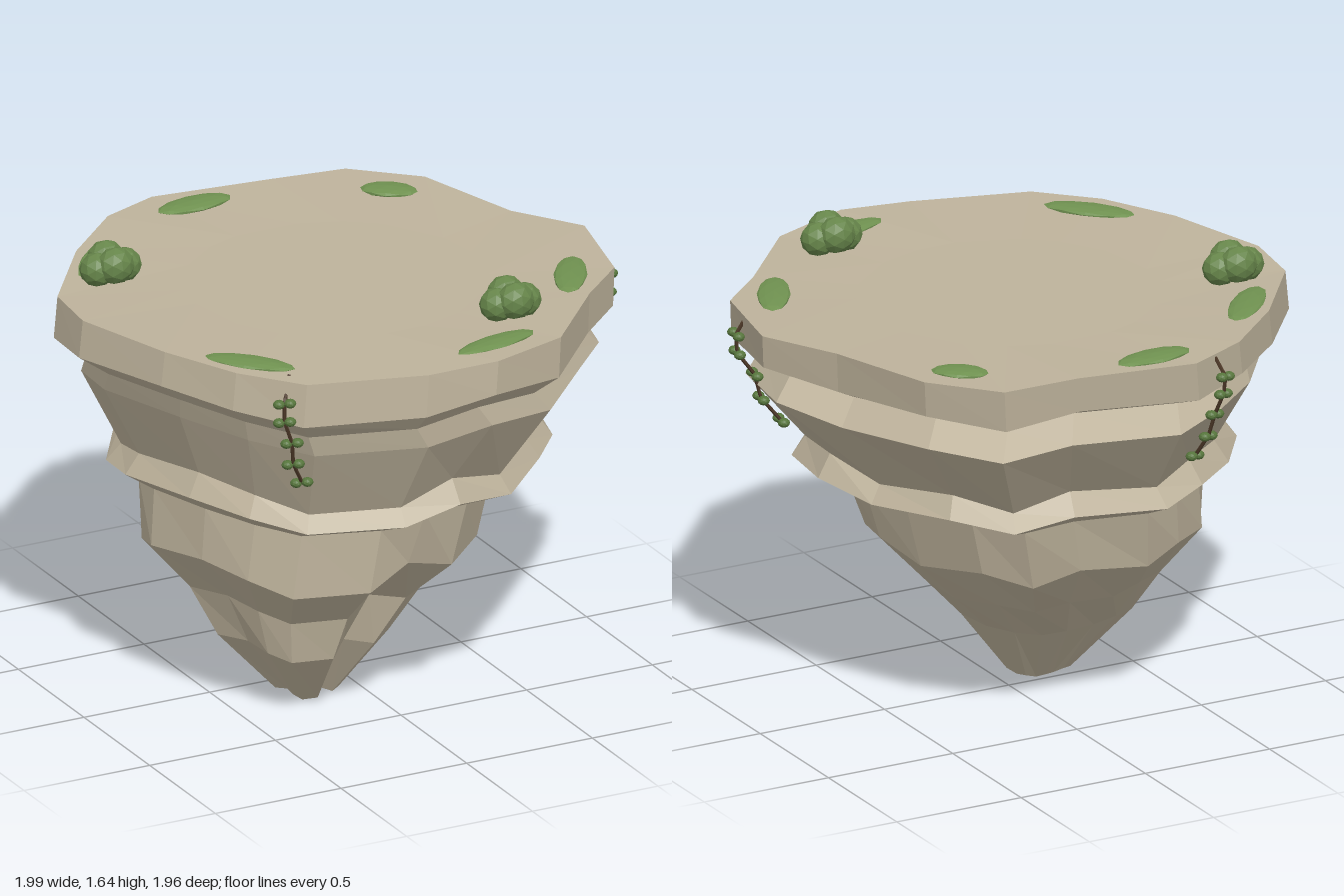
import * as THREE from 'three';

const mat = (name, color, extra = {}) => {
  const m = new THREE.MeshStandardMaterial({ color, flatShading: true, ...extra });
  m.name = name;
  return m;
};

// Plan of the rim as x, z pairs, going from +x towards +z
const OUTLINE = [
  [1, 0], [0.92, 0.38], [0.73, 0.55], [0.45, 0.86], [0.14, 0.97], [-0.13, 0.95],
  [-0.56, 0.83], [-0.74, 0.63], [-0.88, 0.35], [-1, -0.05], [-0.97, -0.30], [-0.72, -0.63],
  [-0.47, -0.86], [-0.24, -0.96], [0.21, -0.90], [0.50, -0.88], [0.71, -0.67], [0.84, -0.26],
];
// Up and down wobble of the strata, and in and out wobble of the lower gullies
const WAVE = [0.9, 0, -0.2, -0.4, 0.9, -0.8, -0.9, 0.2, 0.9, 0.3, -0.5, 0.4, 0.8, -0.3, 0.5, -0.8, 0.3, -0.5];
const GULLY = [0.4, -0.8, 0.3, 0.2, -1, 0.5, 0.8, 0.5, -0.2, 0.4, -0.6, 0.5, 0.2, -0.7, 0.4, -0.5, 0.5, -0.3];

// Rock levels from the middle of the top down to the tip:
// y, xMin, xMax, zMin, zMax, roundness, wave height, gully depth
const LEVELS = [
  [1.485, 0, 0, 0, 0, 1, 0, 0],
  [1.485, -0.54, 0.54, -0.53, 0.53, 1, 0, 0],
  [1.495, -0.98, 0.99, -0.96, 0.965, 0, 0.006, 0],
  [1.355, -1.0, 0.98, -0.95, 0.975, 0, 0.025, 0],
  [1.295, -0.91, 0.84, -0.80, 0.92, 0.2, 0.025, 0],
  [1.215, -0.90, 0.93, -0.90, 0.92, 0.2, 0.025, 0],
  [0.955, -0.78, 0.70, -0.70, 0.77, 0.4, 0.045, 0],
  [0.885, -0.83, 0.75, -0.76, 0.82, 0.4, 0.03, 0],
  [0.815, -0.72, 0.56, -0.61, 0.67, 0.5, 0.02, 0],
  [0.60, -0.73, 0.49, -0.57, 0.65, 0.6, 0.045, 0.03],
  [0.42, -0.57, 0.30, -0.38, 0.45, 0.8, 0.03, 0.09],
  [0.25, -0.49, 0.12, -0.21, 0.40, 0.8, 0.02, 0.16],
  [0.015, -0.28, -0.06, 0, 0.21, 1, 0.012, 0.25],
  [0.02, -0.17, -0.17, 0.1, 0.1, 1, 0, 0],
];

function makeRock(material) {
  const rings = LEVELS.map(([y, x0, x1, z0, z1, round, wave, gully]) => OUTLINE.map(([x, z], i) => {
    const zn = z / 0.965;
    const a = Math.atan2(zn, x);
    const r = THREE.MathUtils.lerp(Math.hypot(x, zn), 1, round) * (1 + gully * GULLY[i]);
    return new THREE.Vector3(
      (x0 + x1) / 2 + (x1 - x0) / 2 * r * Math.cos(a),
      y + wave * WAVE[i],
      (z0 + z1) / 2 + (z1 - z0) / 2 * r * Math.sin(a));
  }));
  const pts = [];
  const tri = (a, b, c) => {
    if (new THREE.Triangle(a, b, c).getArea() > 1e-7) pts.push(a, b, c);
  };
  for (let k = 0; k < rings.length - 1; k++) {
    for (let i = 0; i < OUTLINE.length; i++) {
      const j = (i + 1) % OUTLINE.length;
      const [u, l] = [rings[k], rings[k + 1]];
      tri(u[i], u[j], l[i]);
      tri(u[j], l[j], l[i]);
    }
  }
  const geo = new THREE.BufferGeometry().setFromPoints(pts);
  geo.computeVertexNormals();
  const mesh = new THREE.Mesh(geo, material);
  mesh.name = 'rock';
  return mesh;
}

// Faceted ball, stretched along its axes
function ball(name, material, pos, sx, sy, sz, detail = 1) {
  const m = new THREE.Mesh(new THREE.IcosahedronGeometry(1, detail), material);
  m.name = name;
  m.position.set(...pos);
  m.scale.set(sx, sy, sz);
  return m;
}

export function createModel() {
  const stone = mat('stone', 0xbdb29b);
  const moss = mat('moss green', 0x6f9150);
  const bushGreen = mat('bush green', 0x66854a);
  const leafGreen = mat('leaf green', 0x56753c);
  const bark = mat('vine brown', 0x4a3626);

  const model = new THREE.Group();
  model.name = 'floatingIsland';
  model.add(makeRock(stone));

  // Moss patches: two end points and a width
  [
    [-0.28, -0.81, 0.02, -0.84, 0.13], [-0.79, -0.39, -0.55, -0.66, 0.12],
    [0.46, -0.69, 0.62, -0.56, 0.13], [0.66, 0.51, 0.83, 0.22, 0.12],
    [0.05, 0.84, 0.39, 0.76, 0.11], [-0.75, 0.43, -0.52, 0.69, 0.12],
  ].forEach(([x0, z0, x1, z1, w]) => {
    const len = Math.hypot(x1 - x0, z1 - z0);
    const patch = ball('mossPatch', moss, [(x0 + x1) / 2, 1.494, (z0 + z1) / 2], len / 2, 0.016, w / 2);
    patch.rotation.y = -Math.atan2(z1 - z0, x1 - x0);
    model.add(patch);
  });

  // Bushes: two low side lobes and two higher lobes in front and behind
  [[-0.73, -0.315], [0.37, 0.625]].forEach(([x, z]) => {
    const bush = new THREE.Group();
    bush.name = 'bush';
    bush.position.set(x, 1.49, z);
    for (const s of [-1, 1]) {
      bush.add(ball('bushLobe', bushGreen, [s * 0.053, 0.067, 0], 0.064, 0.062, 0.064));
      bush.add(ball('bushLobe', bushGreen, [0, 0.085, s * 0.038], 0.07, 0.068, 0.06));
    }
    model.add(bush);
  });

  // Hanging vines: a root on the rim, then nodes that each carry a pair of leaves
  const heights = [1.42, 1.35, 1.26, 1.17, 1.08];
  [
    { root: [-0.56, 1.49, 0.72], side: [0.83, 0.55], xz: [[-0.62, 0.8], [-0.62, 0.8], [-0.585, 0.79], [-0.57, 0.77], [-0.52, 0.74]] },
    { root: [0.92, 1.49, 0.24], side: [0, 1], xz: [[0.96, 0.25], [0.955, 0.25], [0.89, 0.24], [0.87, 0.23], [0.80, 0.21]] },
    { root: [-0.33, 1.49, -0.90], side: [0.9, -0.4], xz: [[-0.35, -0.95], [-0.35, -0.935], [-0.34, -0.89], [-0.33, -0.86], [-0.31, -0.80]] },
  ].forEach(({ root, side, xz }) => {
    const vine = new THREE.Group();
    vine.name = 'hangingVine';
    const nodes = xz.map(([x, z], i) => new THREE.Vector3(x, heights[i], z));
    const path = new THREE.CurvePath();
    [new THREE.Vector3(...root), ...nodes].forEach((p, i, all) => {
      if (i) path.add(new THREE.LineCurve3(all[i - 1], p));
    });
    const stem = new THREE.Mesh(new THREE.TubeGeometry(path, 24, 0.007, 5), bark);
    stem.name = 'vineStem';
    vine.add(stem);
    nodes.forEach((p) => {
      for (const s of [-1, 1]) {
        vine.add(ball('vineLeaf', leafGreen,
          [p.x + s * side[0] * 0.02, p.y + s * 0.003, p.z + s * side[1] * 0.02], 0.022, 0.017, 0.022));
      }
    });
    model.add(vine);
  });

  return model;
}
